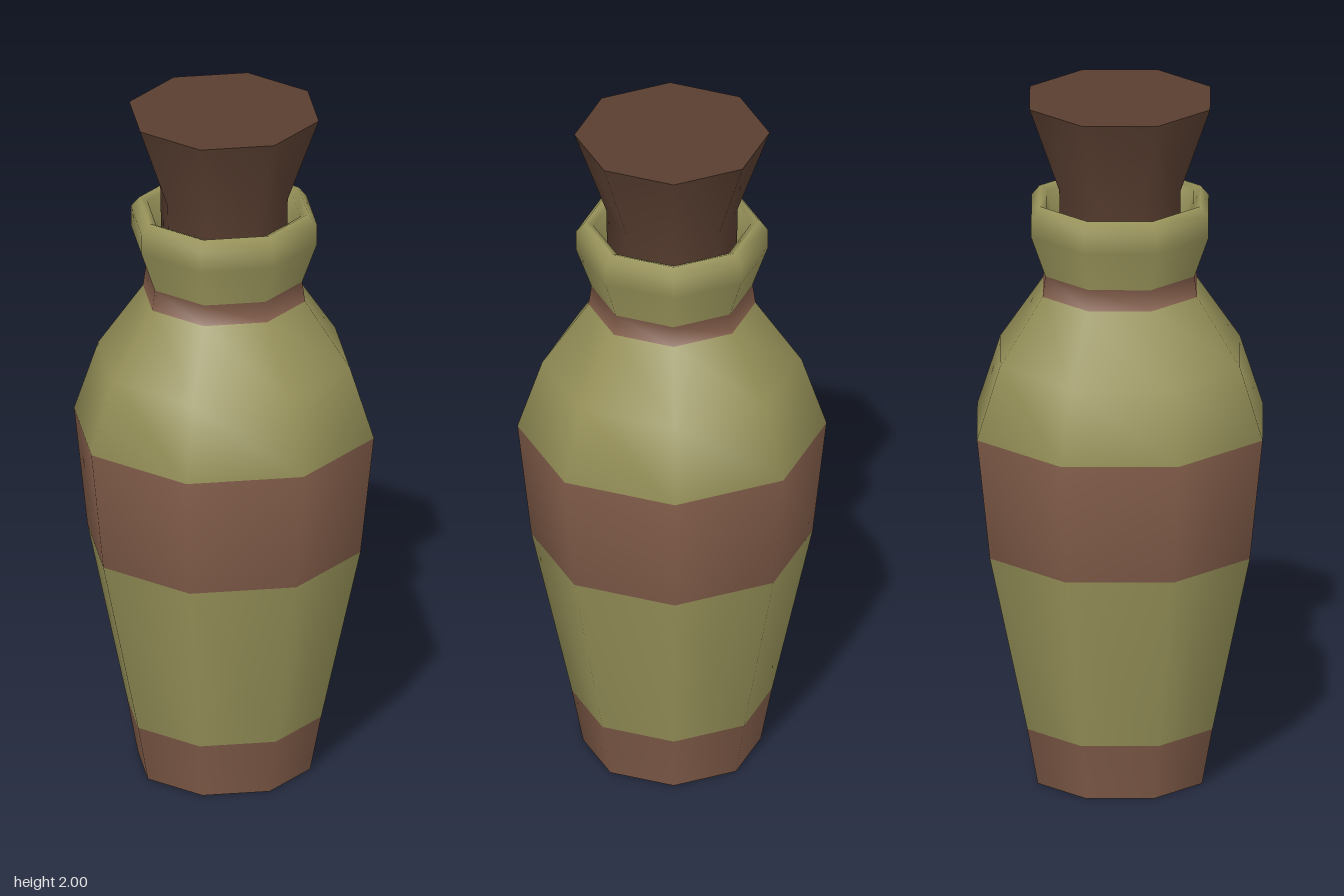
import * as THREE from 'three';

const SIDES = 8;

// Lathe with one material slot per profile step, so bands share smooth normals
function bandedLathe(profile, slots) {
  const geo = new THREE.LatheGeometry(profile.map(([r, y]) => new THREE.Vector2(r, y)), SIDES);
  const steps = profile.length - 1;
  for (let side = 0; side < SIDES; side++) {
    for (let j = 0; j < steps; j++) geo.addGroup((side * steps + j) * 6, 6, slots[j]);
  }
  return geo;
}

// Flat octagonal cap facing up (1) or down (-1)
function cap(name, radius, y, facing, material) {
  const mesh = new THREE.Mesh(new THREE.CircleGeometry(radius, SIDES), material);
  mesh.name = name;
  mesh.rotation.x = -facing * Math.PI / 2;
  mesh.position.y = y;
  return mesh;
}

export function createModel() {
  const glaze = new THREE.MeshStandardMaterial({ color: 0x98935a });
  glaze.name = 'olive glaze';
  const band = new THREE.MeshStandardMaterial({ color: 0x815c49 });
  band.name = 'brown band';
  const corkMat = new THREE.MeshStandardMaterial({ color: 0x593e30 });
  corkMat.name = 'dark cork';

  const model = new THREE.Group();
  model.name = 'corkedBottle';

  // Bottle wall from foot to lip, then down inside the neck
  const wall = [
    [0.25, 0], [0.282, 0.165], [0.396, 0.685], [0.435, 1.04], [0.365, 1.25],
    [0.235, 1.44], [0.227, 1.5], [0.27, 1.62], [0.27, 1.68], [0.245, 1.71],
    [0.222, 1.7], [0.2, 1.62], [0.18, 1.5],
  ];
  const slots = [1, 0, 1, 0, 0, 1, 0, 0, 0, 0, 0, 0];
  const bottle = new THREE.Mesh(bandedLathe(wall, slots), [glaze, band]);
  bottle.name = 'bottle';
  model.add(bottle, cap('bottleBase', 0.25, 0, -1, band));

  // Flared cork, seated in the neck
  const corkProfile = [[0.18, 1.5], [0.185, 1.75], [0.275, 2]];
  const cork = new THREE.Mesh(bandedLathe(corkProfile, [0, 0]), [corkMat]);
  cork.name = 'cork';
  model.add(cork, cap('corkTop', 0.275, 2, 1, corkMat), cap('corkBottom', 0.18, 1.5, -1, corkMat));

  return model;
}
